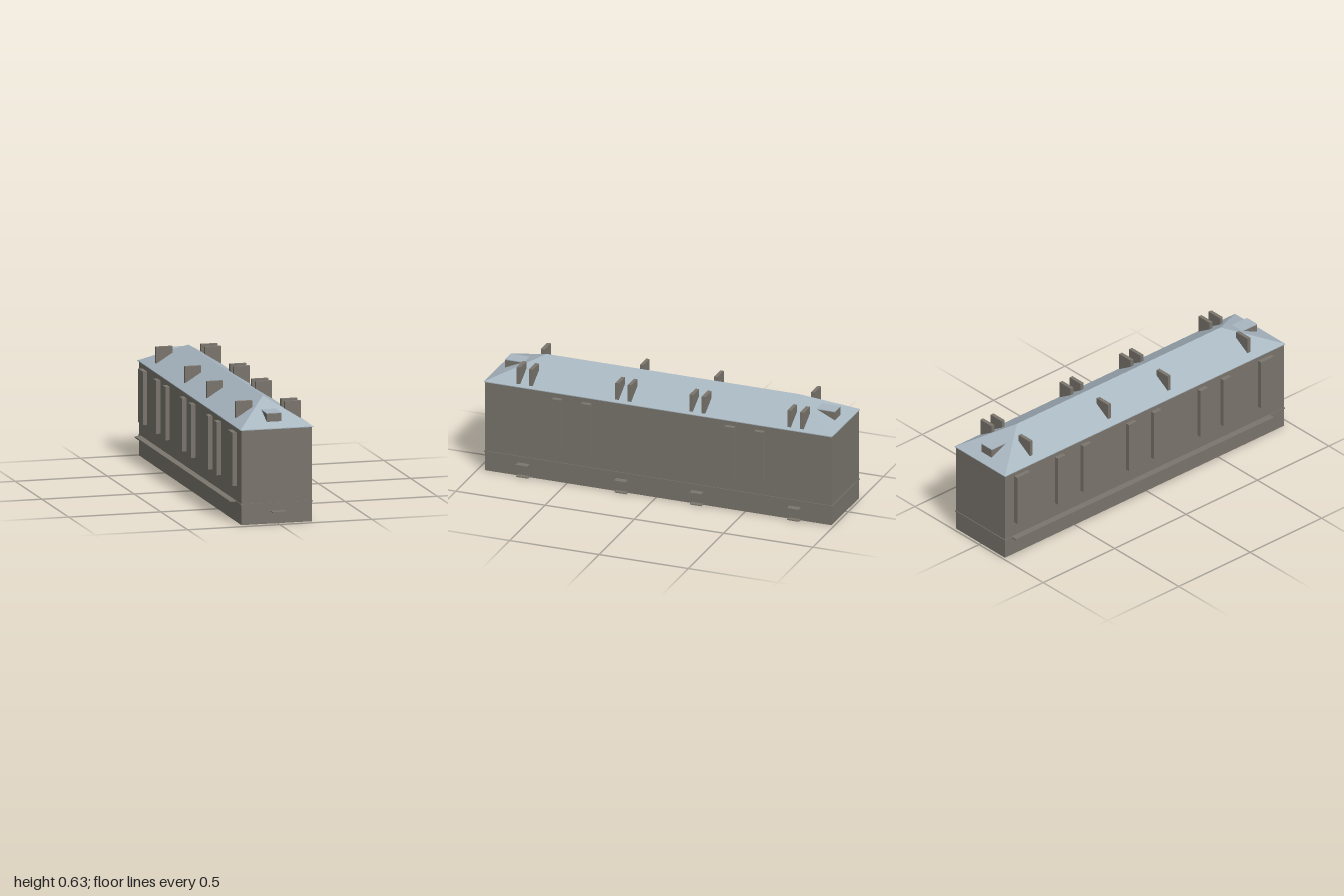
import * as THREE from 'three';

const mat = (name, color, side = THREE.FrontSide) => {
  const m = new THREE.MeshStandardMaterial({ color, side, flatShading: true });
  m.name = name;
  return m;
};

export function createModel() {
  const model = new THREE.Group();
  model.name = 'longHouse';
  const house = new THREE.Group();
  house.name = 'house';
  house.rotation.y = -0.005; // the house stands slightly askew
  model.add(house);

  const stone = mat('stone', 0x7a756d);
  const slate = mat('slate', 0xa9b7c1);

  // box given by its minimum and maximum on each axis
  const box = (name, material, [x0, x1], [y0, y1], [z0, z1]) => {
    const mesh = new THREE.Mesh(new THREE.BoxGeometry(x1 - x0, y1 - y0, z1 - z0), material);
    mesh.position.set((x0 + x1) / 2, (y0 + y1) / 2, (z0 + z1) / 2);
    mesh.name = name;
    house.add(mesh);
    return mesh;
  };
  const around = (c, size) => [c - size / 2, c + size / 2];

  // walls and the thin string course
  const W = 0.191, FRONT = 0.96, BACK = -0.985;
  box('walls', stone, [-W, W], [0, 0.503], [BACK, FRONT]);
  box('stringCourse', stone, [-W - 0.004, W + 0.004], [0.105, 0.111], [BACK - 0.004, FRONT + 0.004]);

  // hipped roof: eaves slab with four slopes above
  const R = 0.197, RF = 0.964, RB = -0.99, EAVE = 0.505, RIDGE = 0.627;
  box('eaves', slate, [-R, R], [0.501, EAVE], [RB, RF]);
  const a = [-R, EAVE, RF], b = [R, EAVE, RF], c = [R, EAVE, RB], d = [-R, EAVE, RB];
  const e = [0.002, RIDGE, 0.69], f = [0.002, RIDGE, -0.73];
  const slopes = [[a, b, e], [b, c, f], [b, f, e], [c, d, f], [d, a, e], [d, e, f]];
  const roofGeometry = new THREE.BufferGeometry();
  roofGeometry.setAttribute('position', new THREE.Float32BufferAttribute(slopes.flat(2), 3));
  roofGeometry.computeVertexNormals();
  const roof = new THREE.Mesh(roofGeometry, slate);
  roof.name = 'roof';
  house.add(roof);

  // flat-topped dormers on both hips
  for (const [name, z] of [['front', [0.80, 0.908]], ['back', [-0.943, -0.84]]]) {
    box(name + 'Dormer', stone, [-0.039, 0.039], [0.51, 0.573], z);
    box(name + 'DormerRoof', slate, [-0.04, 0.04], [0.573, 0.577], z);
  }

  // chimneys: pairs on the left slope, single ones on the right
  for (const z of [-0.815, -0.743, -0.263, -0.193, 0.153, 0.223, 0.706, 0.776]) {
    box('leftChimney', stone, around(0.138, 0.088), [0.5, 0.608], around(z, 0.02));
  }
  for (const z of [-0.775, -0.23, 0.187, 0.742]) {
    box('rightChimney', stone, around(-0.117, 0.088), [0.5, 0.615], around(z, 0.02));
  }

  // tall shallow bays on the left wall
  for (const z of [-0.585, -0.42, 0.385, 0.55]) {
    box('leftBay', stone, [W, 0.217], [0.195, 0.475], around(z, 0.052));
  }

  // bays on the right wall, the outermost ones wider
  const rightBays = [[-0.875, 0.09], [-0.61, 0.054], [-0.43, 0.054], [-0.115, 0.054],
    [0.06, 0.054], [0.385, 0.054], [0.545, 0.054], [0.825, 0.09]];
  for (const [z, width] of rightBays) {
    box('rightBay', stone, [-0.215, -W], [0.192, 0.475], around(z, width));
  }

  // long ledge on the right wall
  box('rightLedge', stone, [-0.228, -W], [0.105, 0.112], [-0.94, 0.86]);

  // small canopies with doorsteps on the left wall, and one canopy at the front
  for (const z of [-0.78, -0.233, 0.19, 0.742]) {
    box('leftCanopy', stone, [W, 0.226], [0.07, 0.074], around(z, 0.066));
    box('leftDoorstep', stone, [W, 0.217], [0.002, 0.007], around(z, 0.066));
  }
  box('frontCanopy', stone, [-0.033, 0.041], [0.063, 0.068], [FRONT, 1]);

  return model;
}
